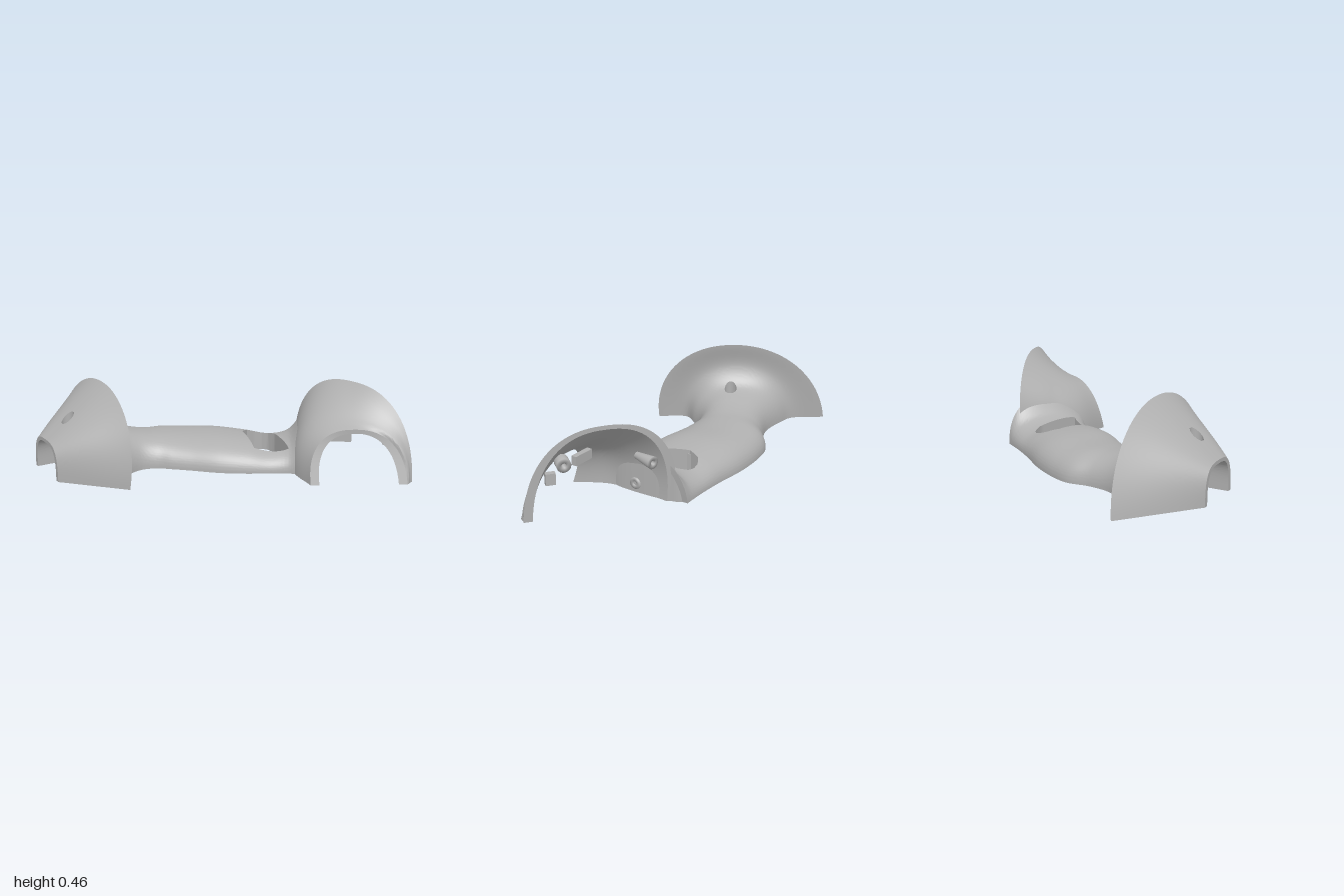
import * as THREE from 'three';
import { toCreasedNormals } from 'three/addons/utils/BufferGeometryUtils.js';

const V = (x, y, z) => new THREE.Vector3(x, y, z);
const NS = 80;
const range = (a, b, n) => Array.from({ length: n + 1 }, (_, i) => a + (b - a) * i / n);

// A section is [ax, az, bx, bz, height, bulge]: an arch standing on the chord A-B.
// The bulge moves its crown sideways along (dx, dz).
function arch([ax, az, bx, bz, h, bulge = 0], power = 2.3, dx = 1, dz = 0.25) {
  return range(0, Math.PI, NS).map((a) => {
    const c = Math.sign(Math.cos(a)) * Math.abs(Math.cos(a)) ** (2 / power);
    const s = Math.max(0, Math.sin(a)) ** (2 / power);
    return V((ax + bx) / 2 + (ax - bx) / 2 * c + dx * bulge * s, h * s,
      (az + bz) / 2 + (az - bz) / 2 * c + dz * bulge * s);
  });
}

// Smooth interpolation through a list of sections; t counts sections.
function spline(list) {
  const p = new THREE.CatmullRomCurve3(list.map((s) => V(s[0], s[4], s[1])));
  const q = new THREE.CatmullRomCurve3(list.map((s) => V(s[2], s[5] || 0, s[3])));
  return (t) => {
    const a = p.getPoint(t / (list.length - 1)), b = q.getPoint(t / (list.length - 1));
    return [a.x, a.z, b.x, b.z, a.y, b.y];
  };
}
const mix = (s, r, k) => s.map((v, i) => v + (r[i] - v) * k);
function inset([ax, az, bx, bz, h, b], side, top) {
  const k = side / Math.hypot(bx - ax, bz - az);
  return [ax + (bx - ax) * k, az + (bz - az) * k, bx - (bx - ax) * k, bz - (bz - az) * k, h - top, b];
}
const flat = (row) => row.map((p) => V(p.x, 0, p.z));

// Surface over rows of points, optionally trimmed where keep(x, z) < 0.
function loft(rows, keep) {
  const out = [];
  const add = (...tri) => {
    let poly = tri;
    if (keep) {
      poly = [];
      tri.forEach((p, i) => {
        const q = tri[(i + 1) % 3], fp = keep(p.x, p.z), fq = keep(q.x, q.z);
        if (fp >= 0) poly.push(p);
        if ((fp >= 0) !== (fq >= 0)) poly.push(p.clone().lerp(q, fp / (fp - fq)));
      });
    }
    for (let i = 2; i < poly.length; i++) {
      for (const p of [poly[0], poly[i - 1], poly[i]]) out.push(p.x, p.y, p.z);
    }
  };
  for (let i = 0; i + 1 < rows.length; i++) {
    for (let j = 0; j + 1 < rows[i].length; j++) {
      add(rows[i][j], rows[i + 1][j], rows[i + 1][j + 1]);
      add(rows[i][j], rows[i + 1][j + 1], rows[i][j + 1]);
    }
  }
  const g = new THREE.BufferGeometry();
  g.setAttribute('position', new THREE.Float32BufferAttribute(out, 3));
  return toCreasedNormals(g, 0.6);
}

// Closed thick-walled arch profile, and the flat rim that ends it.
const thick = (s, side, top, ...shape) => {
  const o = arch(s, ...shape);
  return [...o, ...arch(inset(s, side, top), ...shape).reverse(), o[0].clone()];
};
const rimOf = (row) => loft([row.slice(0, NS + 1), row.slice(NS + 1, 2 * NS + 2).reverse()]);

export function createModel() {
  const group = new THREE.Group();
  const grey = new THREE.MeshStandardMaterial({ color: 0xb0b0b0, side: THREE.DoubleSide });
  grey.name = 'plastic grey';
  const add = (name, geo) => {
    const m = new THREE.Mesh(geo, grey);
    m.name = name;
    group.add(m);
  };

  // Grip sections, from the wide flange through the neck to the flare at the head.
  const grip = spline([
    [-0.99, -0.39, -0.43, 0.39, 0.46, 0.07], [-0.87, -0.25, -0.52, 0.26, 0.32, 0.03],
    [-0.78, -0.23, -0.48, 0.18, 0.23], [-0.62, -0.23, -0.42, 0.1, 0.18],
    [-0.5, -0.28, -0.34, 0.07, 0.155], [-0.4, -0.36, -0.26, 0.075, 0.148],
    [-0.28, -0.39, -0.16, 0.085, 0.145], [-0.1, -0.4, 0, 0.105, 0.148],
    [0.08, -0.385, 0.15, 0.1, 0.135], [0.22, -0.38, 0.28, 0.08, 0.115],
    [0.315, -0.382, 0.36, 0.075, 0.145, 0.01], [0.37, -0.385, 0.405, 0.085, 0.25, 0.035],
  ]);

  // Base: neck, flange, cone, then back into the pocket.
  const holes = [[-0.8, 0.14], [-0.59, 0]], holeR = 0.034;
  const holeKeep = (x, z) => Math.min(...holes.map(([a, b]) => Math.hypot(x - a, z - b))) - holeR;
  const rim = grip(0), end = [-1, 0.08, -0.82, 0.32, 0.19, 0];
  const mouth = [-0.985, 0.1, -0.835, 0.3, 0.172, 0], deep = [-0.645, -0.15, -0.495, 0.05, 0.13, 0];
  const pocket = range(0, 1, 24).map((k) => arch(mix(mouth, deep, k), 3.4 + 3 * k));
  const baseRows = [
    ...range(3, 0, 36).map((t) => arch(grip(t), 2.1 + t * 0.06)),
    ...range(0, 1, 30).slice(1).map((k) => arch(mix(rim, end, k), 2.1 + 1.1 * k * k)),
    ...pocket, flat(pocket[24]),
  ];
  add('base', loft(baseRows, holeKeep));

  // Flat underside of the base around the pocket.
  const edge = range(0, 3, 18).map(grip);
  const outline = [
    ...edge.map((s) => [s[0], s[1]]).reverse(), [-1, 0.08], [-0.985, 0.1], [-0.645, -0.15],
    [-0.495, 0.05], [-0.835, 0.3], [-0.82, 0.32], ...edge.map((s) => [s[2], s[3]]),
  ];
  add('baseUnderside', new THREE.ShapeGeometry(
    new THREE.Shape(outline.map(([x, z]) => new THREE.Vector2(x, z)))).rotateX(Math.PI / 2));

  // Grip shell with the skewed window.
  const win = [[0.17, 0], [0.355, 0], [0.26, -0.25], [0.225, -0.285], [0.19, -0.295], [0.15, -0.29],
    [0.11, -0.265], [0.09, -0.2]];
  const winKeep = (x, z) => Math.max(...win.map(([ax, az], i) => {
    const [bx, bz] = win[(i + 1) % win.length];
    return ((x - ax) * -(bz - az) + (z - az) * (bx - ax)) / Math.hypot(bx - ax, bz - az);
  }));
  const gripRows = range(3, 11, 96).map((t) => thick(grip(t), 0.035, 0.025));
  add('gripShell', loft(gripRows, winKeep));
  add('gripEndRim', rimOf(gripRows[96]));

  // Walls that follow an outline from the outer surface downwards.
  const ray = new THREE.Raycaster();
  const height = (mesh, x, z) => {
    ray.set(V(x, 1, z), V(0, -1, 0));
    const hit = ray.intersectObject(mesh)[0];
    return hit ? hit.point.y : 0.12;
  };
  const sleeve = (name, mesh, pts, bottom) => {
    const loop = [...pts, pts[0]];
    add(name, loft([loop.map(([x, z]) => V(x, height(mesh, x, z), z)), loop.map(([x, z]) => V(x, bottom, z))]));
  };
  const fine = win.flatMap(([ax, az], i) => {
    const [bx, bz] = win[(i + 1) % win.length];
    return range(0, 1, 8).slice(0, 8).map((k) => [ax + (bx - ax) * k, az + (bz - az) * k]);
  });
  sleeve('windowWall', new THREE.Mesh(loft(gripRows), grey), fine, 0);
  const around = (s) => fine.map(([x, z]) => V(0.21 + (x - 0.21) * s, 0, -0.13 + (z + 0.13) * s));
  const rings = [around(1), around(1.1)].map((r) => [...r, r[0]]);
  add('windowRim', loft([...rings, rings[1].map((p) => V(p.x, 0.08, p.z))]));

  // Screw holes in the base, each with a shelf.
  const baseSolid = new THREE.Mesh(loft(baseRows), grey);
  for (const [x, z] of holes) {
    const circle = range(0, 2 * Math.PI, 24).slice(0, 24)
      .map((a) => [x + holeR * Math.cos(a), z + holeR * Math.sin(a)]);
    sleeve('screwHole', baseSolid, circle, 0.13);
    add('screwShelf', new THREE.RingGeometry(0.018, holeR, 24).rotateX(-Math.PI / 2).translate(x, 0.17, z));
  }

  // Cross walls inside the grip, as [station, half thickness].
  for (const [t, half] of [[3.08, 0.05], [6.6, 0.1], [7.8, 0.12], [10.92, 0.05]]) {
    const [a, b] = [t - half, t + half].map((k) => arch(inset(grip(k), 0.03, 0.021)));
    add('crossWall', loft([flat(a), a, b, flat(b), flat(a)]));
  }

  // Flared head shell, open at both ends.
  const head = spline([
    [0.375, -0.315, 1, 0.13, 0.46, 0.03], [0.37, -0.12, 0.99, 0.14, 0.375, 0.03],
    [0.385, 0.06, 0.985, 0.155, 0.305, 0.03], [0.48, 0.235, 0.975, 0.17, 0.275, 0.07],
  ]);
  const headRows = range(0, 3, 40).map((t) => thick(head(t), 0.045, 0.022, 2.4, -0.5, -1));
  add('headShell', loft(headRows));
  add('mouthRim', rimOf(headRows[0]));
  add('frontRim', rimOf(headRows[40]));

  // Screw bosses and small blocks inside the head.
  const turn = Math.atan2(0.58, -0.81);
  const boss = (name, r0, r1, len, x, y, z, yaw) => {
    const profile = [[r1, 0], [r0, len], [0.012, len], [0.012, len * 0.4], [0, len * 0.4]];
    add(name, new THREE.LatheGeometry(profile.map(([r, h]) => new THREE.Vector2(r, h)), 24)
      .rotateX(Math.PI / 2).rotateY(yaw).translate(x, y, z));
  };
  boss('headBoss', 0.033, 0.018, 0.12, 0.46, 0.23, -0.14, Math.atan2(0.2, -0.98));
  boss('rimBoss', 0.036, 0.036, 0.06, 0.815, 0.285, 0.04, turn);
  boss('wallScrewSeat', 0.03, 0.034, 0.02, 0.41, 0.05, -0.1, Math.PI / 2);
  const block = (name, w, h, d, x, y, z, yaw = 0) =>
    add(name, new THREE.BoxGeometry(w, h, d).rotateY(yaw).translate(x, y, z));
  block('hangingTab', 0.05, 0.06, 0.03, 0.87, 0.205, 0.065, turn);
  block('frontTab', 0.12, 0.05, 0.03, 0.62, 0.22, 0.08);
  return group;
}
